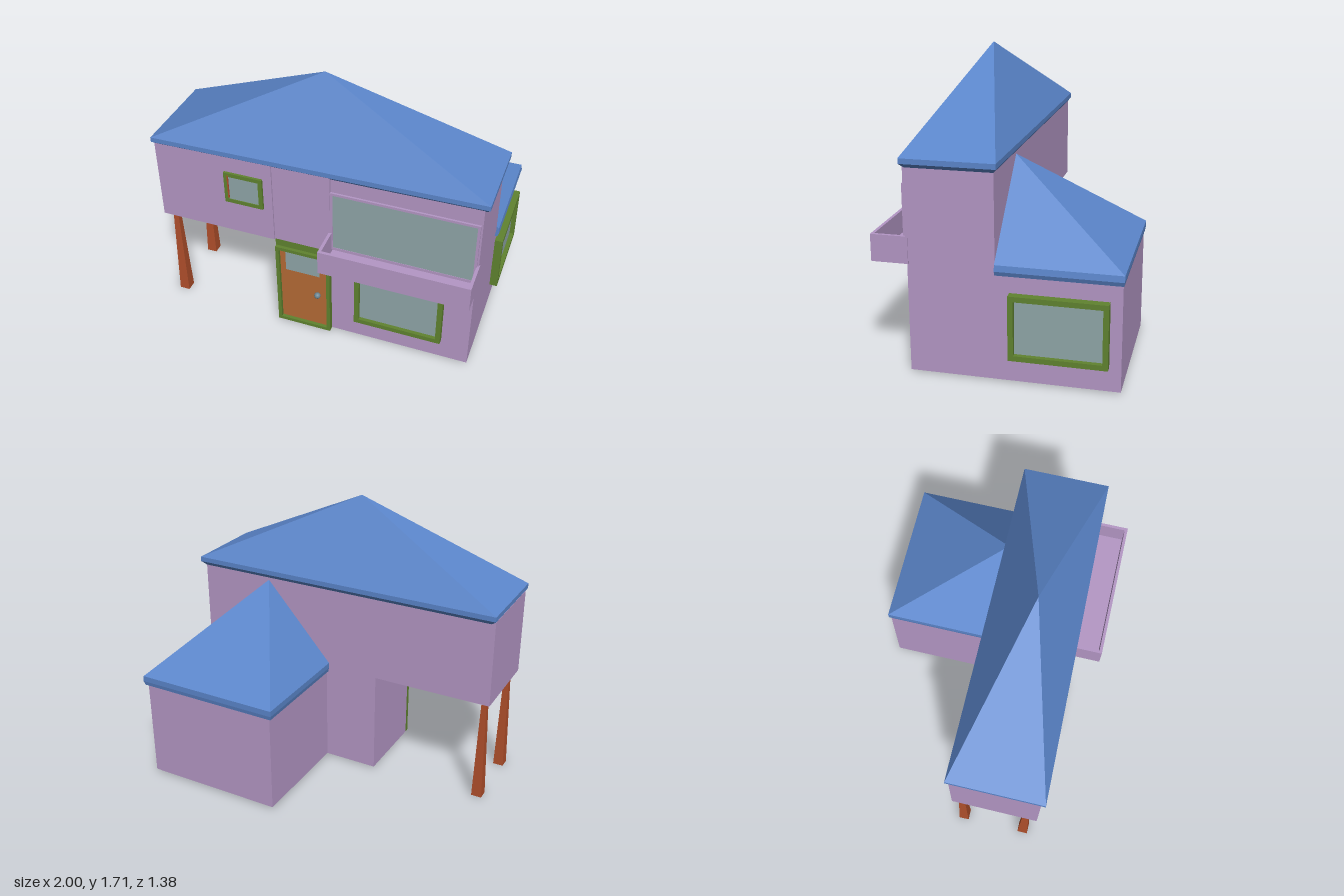
import * as THREE from 'three';

const mat = (name, color) => {
  const m = new THREE.MeshStandardMaterial({ color });
  m.name = name;
  return m;
};

export function createModel() {
  const group = new THREE.Group();
  const wall = mat('lilac wall', 0xb497c5);
  const roof = mat('blue roof', 0x5b86cb);
  const trim = mat('green trim', 0x608330);
  const wood = mat('orange door', 0xb56b35);
  const post = mat('rust post', 0xb04f2b);
  const glass = mat('grey glass', 0x8fa6a8);
  const metal = mat('knob metal', 0x6d8794);

  const add = (name, geometry, material, parent = group) => {
    const mesh = new THREE.Mesh(geometry, material);
    mesh.name = name;
    parent.add(mesh);
    return mesh;
  };

  // Box given by its limits on each axis
  const box = (name, material, x0, x1, y0, y1, z0, z1, parent) => {
    const g = new THREE.BoxGeometry(x1 - x0, y1 - y0, z1 - z0);
    g.translate((x0 + x1) / 2, (y0 + y1) / 2, (z0 + z1) / 2);
    return add(name, g, material, parent);
  };

  // Flat-faced solid through four-cornered rings, from bottom to top
  const loft = (name, material, rings) => {
    const p = [];
    const tri = (a, b, c) => p.push(...a, ...b, ...c);
    for (let r = 0; r < rings.length - 1; r++) {
      for (let i = 0; i < 4; i++) {
        const j = (i + 1) % 4, lo = rings[r], hi = rings[r + 1];
        tri(lo[i], lo[j], hi[j]);
        tri(lo[i], hi[j], hi[i]);
      }
    }
    const b = rings[0], t = rings[rings.length - 1];
    tri(b[0], b[3], b[2]); tri(b[0], b[2], b[1]);
    tri(t[0], t[1], t[2]); tri(t[0], t[2], t[3]);
    const g = new THREE.BufferGeometry();
    g.setAttribute('position', new THREE.Float32BufferAttribute(p, 3));
    g.computeVertexNormals();
    return add(name, g, material);
  };

  // Ring of corners; zl and zr are the front depth at the two ends
  const ring = (y, x0, x1, zBack, zl, zr = zl) =>
    [[x0, y, zl], [x1, y, zr], [x1, y, zBack], [x0, y, zBack]];

  // Rectangular frame with an opening, facing +z
  const frameGeometry = (w, h, border, depth) => {
    const rect = (Type, a, b) => {
      const s = new Type();
      s.moveTo(-a, -b); s.lineTo(a, -b); s.lineTo(a, b); s.lineTo(-a, b); s.closePath();
      return s;
    };
    const shape = rect(THREE.Shape, w / 2, h / 2);
    shape.holes.push(rect(THREE.Path, w / 2 - border, h / 2 - border));
    return new THREE.ExtrudeGeometry(shape, { depth, bevelEnabled: false });
  };

  const windowUnit = (name, frameMat, w, h, border, depth, x, y, z, turn = 0) => {
    const unit = new THREE.Group();
    unit.name = name;
    add(name + 'Frame', frameGeometry(w, h, border, depth), frameMat, unit);
    const a = w / 2 - border, b = h / 2 - border;
    box(name + 'Glass', glass, -a, a, -b, b, depth * 0.3, depth * 0.3 + 0.006, unit);
    unit.position.set(x, y, z);
    unit.rotation.y = turn;
    group.add(unit);
    return unit;
  };

  // Walls: ground floor, rear wing and stepped upper floor
  box('groundFloor', wall, -0.26, 0.95, 0.01, 0.66, 0, 0.49);
  box('rearWing', wall, 0.08, 0.95, 0.01, 0.64, -0.68, 0);
  const plan = [[-0.995, 0], [0.96, 0], [0.96, 0.495], [0.09, 0.495], [0.09, 0.51],
    [-0.26, 0.51], [-0.26, 0.52], [-0.995, 0.52]];
  const upper = new THREE.ExtrudeGeometry(
    new THREE.Shape(plan.map(([x, z]) => new THREE.Vector2(x, -z))),
    { depth: 0.535, bevelEnabled: false });
  upper.rotateX(-Math.PI / 2).translate(0, 0.655, 0);
  add('upperFloor', upper, wall);

  // Roofs with a thick chamfered eave
  loft('mainRoof', roof, [
    ring(1.175, -0.97, 0.96, 0.0, 0.515, 0.485),
    ring(1.2, -1, 0.99, -0.02, 0.545, 0.505),
    ring(1.23, -1, 0.99, -0.02, 0.545, 0.505),
    ring(1.71, -0.02, -0.02, 0.265, 0.265),
  ]);
  loft('wingRoof', roof, [
    ring(0.62, 0.07, 0.97, -0.685, 0),
    ring(0.645, 0.065, 0.98, -0.69, 0),
    ring(0.68, 0.065, 0.975, -0.69, 0),
    ring(1.16, 0.49, 0.49, 0, 0),
  ]);

  // Balcony: floor and thin parapet
  box('balconyFloor', wall, 0.08, 0.965, 0.64, 0.66, 0.48, 0.69);
  box('balconyFront', wall, 0.08, 0.965, 0.66, 0.795, 0.672, 0.69);
  for (const x of [0.08, 0.947]) {
    box('balconySide', wall, x, x + 0.018, 0.66, 0.795, 0.48, 0.672);
  }

  // Windows
  windowUnit('balconyWindow', wall, 0.86, 0.41, 0.015, 0.012, 0.52, 0.88, 0.495);
  windowUnit('frontWindow', trim, 0.54, 0.37, 0.03, 0.04, 0.515, 0.335, 0.49);
  windowUnit('sideWindow', trim, 0.54, 0.37, 0.03, 0.048, 0.95, 0.335, -0.345, Math.PI / 2);
  windowUnit('upperWindow', trim, 0.24, 0.21, 0.025, 0.015, -0.435, 0.98, 0.52);
  box('windowLatch', post, -0.533, -0.526, 0.91, 1.07, 0.53, 0.538);

  // Front door with its surround
  box('doorLintel', trim, -0.26, 0.08, 0.6, 0.655, 0.48, 0.505);
  const surround = add('doorSurround', frameGeometry(0.345, 0.595, 0.022, 0.035), trim);
  surround.position.set(-0.085, 0.305, 0.49);
  box('door', wood, -0.236, 0.066, 0.03, 0.582, 0.485, 0.505);
  box('doorGlass', glass, -0.2, 0.018, 0.425, 0.565, 0.504, 0.508);
  const knob = add('doorKnob', new THREE.SphereGeometry(0.02, 16, 12), metal);
  knob.position.set(0.005, 0.28, 0.518);

  // Tapered square posts with flared caps
  for (const z of [0.45, 0.053]) {
    const square = (y, s) => ring(y, -0.95 - s, -0.95 + s, z - s, z + s);
    loft('post', post, [square(0, 0.032), square(0.64, 0.016),
      square(0.641, 0.022), square(0.648, 0.032), square(0.66, 0.032)]);
  }

  return group;
}
